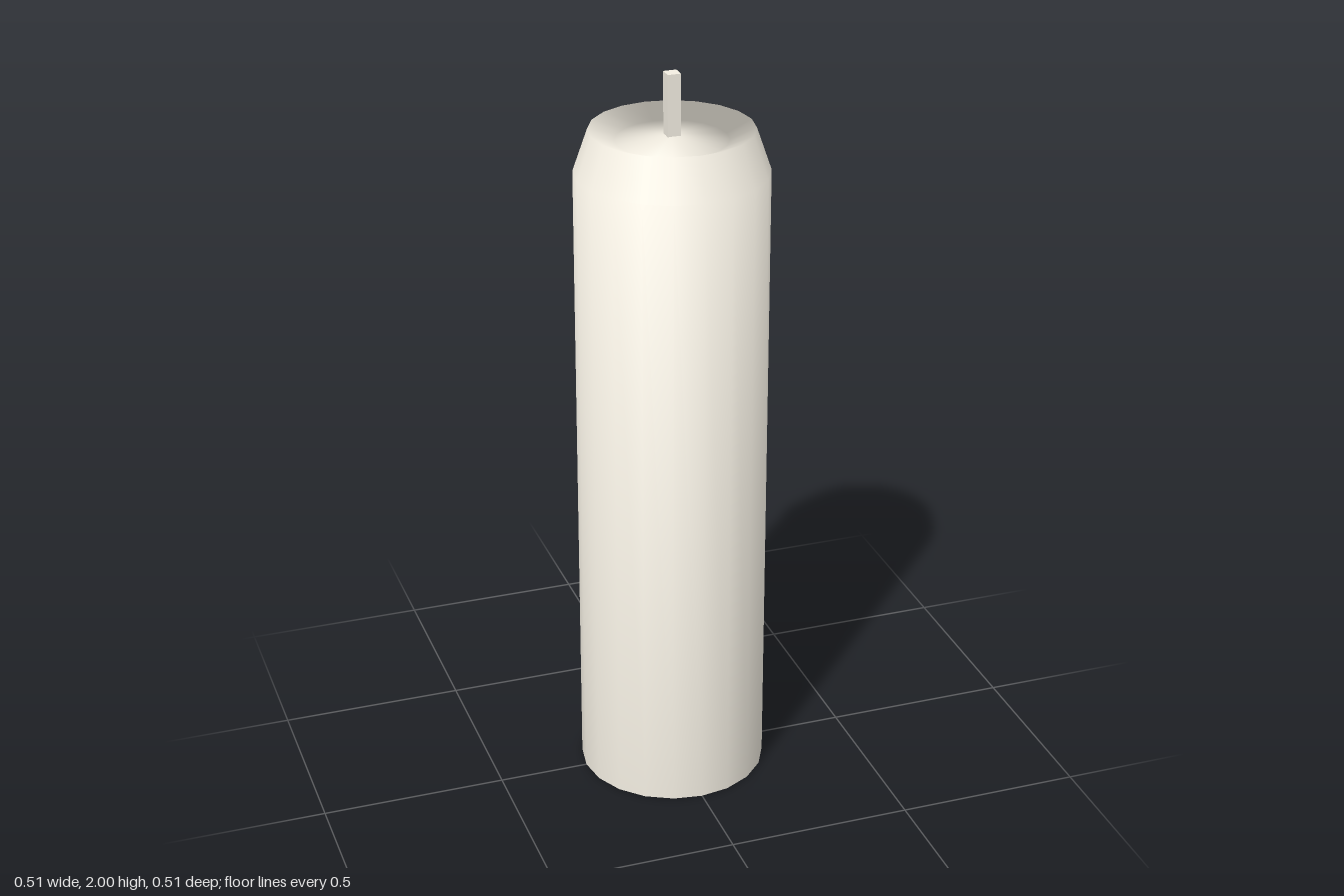
import * as THREE from 'three';

export function createModel() {
  const group = new THREE.Group();
  const material = new THREE.MeshStandardMaterial({ color: 0xf3eee2, side: THREE.DoubleSide });

  // Wax body: open at the base, bevelled shoulder, shallow dish around the wick
  // Each ring: radius, height, tilt of its soft normal above the horizontal
  const rings = [
    [0.254, 0, 0], [0.254, 1.74, 0.5], [0.215, 1.853, 0.5], [0.147, 1.823, 0.5], [0, 1.838, Math.PI / 2],
  ];
  const profile = rings.map(([r, y]) => new THREE.Vector2(r, y));
  const geometry = new THREE.LatheGeometry(profile, 20);
  const { normal, uv } = geometry.attributes;
  for (let i = 0; i < normal.count; i++) {
    const angle = uv.getX(i) * Math.PI * 2;
    const tilt = rings[i % rings.length][2];
    normal.setXYZ(i, Math.sin(angle) * Math.cos(tilt), Math.sin(tilt), Math.cos(angle) * Math.cos(tilt));
  }
  const wax = new THREE.Mesh(geometry, material);
  wax.name = 'waxBody';
  group.add(wax);

  // Square wick standing in the dish
  const bottom = 1.835, top = 2;
  const wick = new THREE.Mesh(new THREE.BoxGeometry(0.035, top - bottom, 0.035), material);
  wick.position.y = (top + bottom) / 2;
  wick.name = 'wick';
  group.add(wick);

  return group;
}
